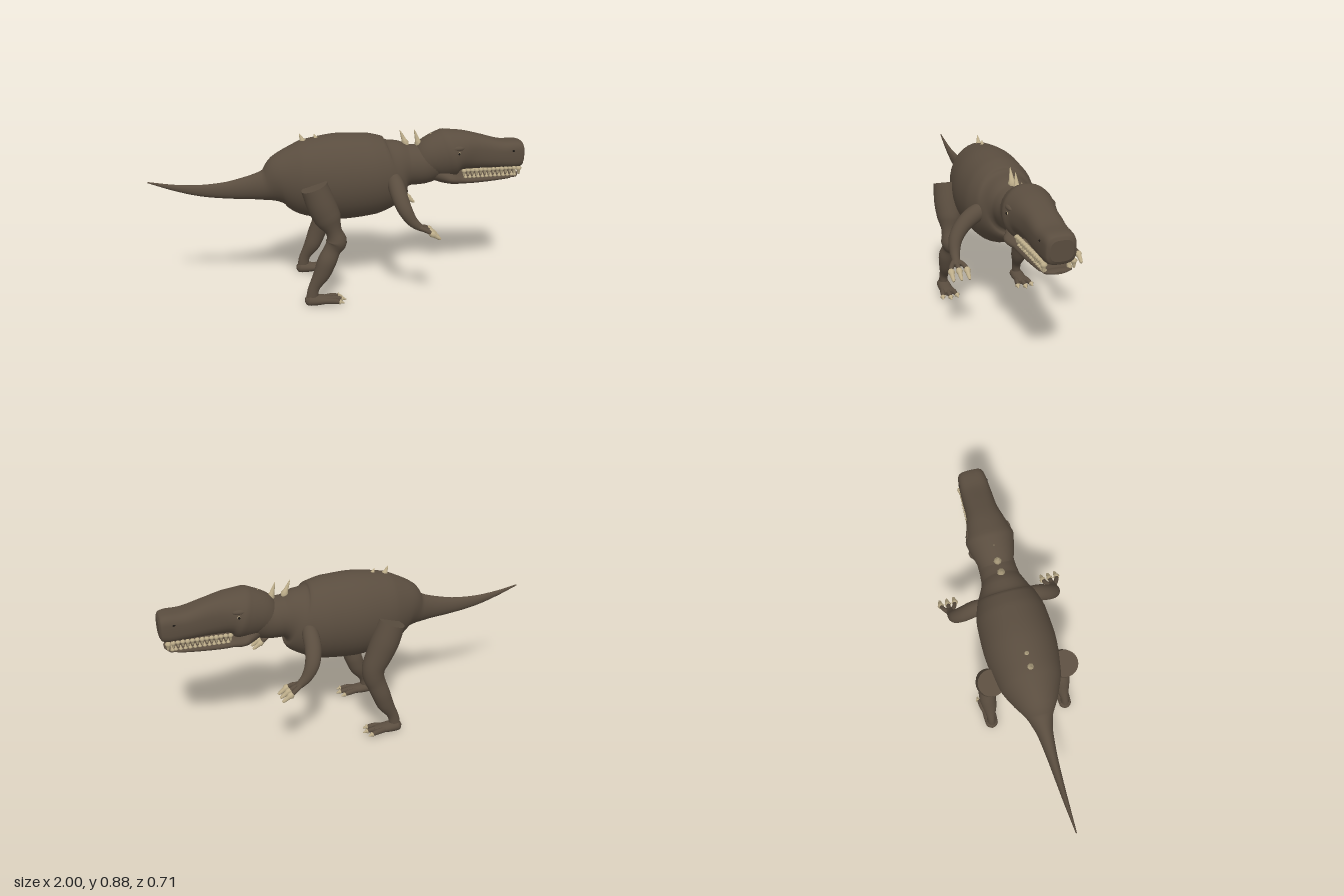
import * as THREE from 'three';

const paint = (name, color) => {
  const m = new THREE.MeshStandardMaterial({ color });
  m.name = name;
  return m;
};
const hide = paint('brown hide', 0x5a4d3f);
const bone = paint('bone', 0xc0b08c);
const dark = paint('dark pupil', 0x1c1814);

// Smooth skin over sections [x, y, z, half width, half depth, squareness = 2]
function loft(sections, ref, steps = 4, sides = 24) {
  const path = new THREE.CatmullRomCurve3(sections.map(s => new THREE.Vector3(s[0], s[1], s[2])));
  const size = new THREE.CatmullRomCurve3(sections.map(s => new THREE.Vector3(s[3], s[4], s[5] ?? 2)));
  const n = (sections.length - 1) * steps;
  const pos = [], index = [];
  const ring = (i) => {
    const c = path.getPoint(i / n), r = size.getPoint(i / n);
    const T = path.getTangent(i / n);
    const U = new THREE.Vector3().crossVectors(ref, T).normalize();
    const V = new THREE.Vector3().crossVectors(T, U);
    for (let j = 0; j < sides; j++) {
      const a = j / sides * Math.PI * 2, e = 2 / r.z;
      const u = Math.sign(Math.cos(a)) * Math.abs(Math.cos(a)) ** e * r.x;
      const v = Math.sign(Math.sin(a)) * Math.abs(Math.sin(a)) ** e * r.y;
      const p = c.clone().addScaledVector(U, u).addScaledVector(V, v);
      pos.push(p.x, p.y, p.z);
    }
    return c;
  };
  for (let i = 0; i <= n; i++) ring(i);
  for (let i = 0; i < n; i++) for (let j = 0; j < sides; j++) {
    const k = (j + 1) % sides, a = i * sides, b = a + sides;
    index.push(a + j, a + k, b + j, a + k, b + k, b + j);
  }
  // flat end caps with their own vertices
  for (const end of [0, n]) {
    const start = pos.length / 3, c = ring(end), mid = pos.length / 3;
    pos.push(c.x, c.y, c.z);
    for (let j = 0; j < sides; j++) {
      const a = start + j, b = start + (j + 1) % sides;
      index.push(mid, ...(end ? [a, b] : [b, a]));
    }
  }
  const g = new THREE.BufferGeometry();
  g.setAttribute('position', new THREE.Float32BufferAttribute(pos, 3));
  g.setIndex(index);
  g.computeVertexNormals();
  return g;
}

const X = new THREE.Vector3(1, 0, 0), Y = new THREE.Vector3(0, 1, 0);

function add(parent, name, geometry, material) {
  const m = new THREE.Mesh(geometry, material);
  m.name = name;
  parent.add(m);
  return m;
}

// Tapered claw, tooth or spike between two points
function claw(parent, name, from, to, r, tip = 0.2) {
  const at = (t, k) => [0, 1, 2].map(i => from[i] + (to[i] - from[i]) * t).concat(r * k, r * k);
  const ref = Math.abs(to[1] - from[1]) > Math.abs(to[0] - from[0]) ? X : Y;
  add(parent, name, loft([at(0, 0.9), at(0.4, 0.9), at(0.85, tip + 0.25), at(1, tip)], ref, 2, 8), bone);
}

function ball(parent, name, p, s, material) {
  const m = add(parent, name, new THREE.SphereGeometry(1, 20, 14), material);
  m.position.set(...p);
  m.scale.set(...s);
  return m;
}

function makeLeg(s) {
  const leg = new THREE.Group();
  leg.name = s > 0 ? 'rightLeg' : 'leftLeg';
  // one knee is pinched above and below the joint, the other is smooth
  const knee = s > 0
    ? [[-0.06, 0.41, 0.208, 0.043, 0.042], [-0.047, 0.355, 0.206, 0.054, 0.055], [-0.07, 0.31, 0.21, 0.036, 0.045]]
    : [[-0.06, 0.41, 0.2, 0.06, 0.062], [-0.06, 0.355, 0.203, 0.055, 0.057], [-0.075, 0.31, 0.208, 0.048, 0.052]];
  const line = [
    [-0.16, 0.655, 0.195, 0.07, 0.07], [-0.125, 0.56, 0.197, 0.074, 0.075], [-0.09, 0.48, 0.2, 0.066, 0.07],
    ...knee,
    [-0.098, 0.25, 0.214, 0.046, 0.05], [-0.125, 0.18, 0.213, 0.041, 0.045],
    [-0.17, 0.1, 0.218, 0.023, 0.03], [-0.18, 0.04, 0.22, 0.024, 0.032],
  ];
  add(leg, 'legAndShin', loft(line.map(([x, y, z, a, b]) => [x, y, z * s, a, b]), X), hide);
  add(leg, 'foot', loft([
    [-0.215, 0.042, 0.22 * s, 0.012, 0.012], [-0.195, 0.036, 0.22 * s, 0.034, 0.03],
    [-0.15, 0.034, 0.22 * s, 0.037, 0.028], [-0.09, 0.034, 0.22 * s, 0.034, 0.02],
    [-0.06, 0.034, 0.22 * s, 0.026, 0.013]], Y), hide);
  // three toes with claws
  for (const t of [-1, 0, 1]) {
    const z = 0.22 * s + t * 0.04, len = t ? 0 : 0.015;
    add(leg, 'toe', loft([[-0.12, 0.034, 0.22 * s + t * 0.02, 0.015, 0.016],
      [-0.07, 0.035, z - t * 0.008, 0.014, 0.016], [-0.03 + len, 0.031, z, 0.009, 0.01]], Y, 3, 12), hide);
    claw(leg, 'toeClaw', [-0.04 + len, 0.033, z], [-0.012 + len, 0.026, z + t * 0.003], 0.01);
  }
  return leg;
}

function makeArm(s) {
  const arm = new THREE.Group();
  arm.name = s > 0 ? 'rightArm' : 'leftArm';
  add(arm, 'upperArmAndForearm', loft([
    [0.265, 0.66, 0.11, 0.04, 0.035], [0.27, 0.635, 0.17, 0.045, 0.043], [0.278, 0.59, 0.23, 0.04, 0.042],
    [0.3, 0.53, 0.275, 0.035, 0.037], [0.335, 0.475, 0.29, 0.026, 0.028], [0.37, 0.445, 0.294, 0.021, 0.02],
    [0.395, 0.43, 0.295, 0.026, 0.013]].map(([x, y, z, a, b]) => [x, y, z * s, a, b]), X), hide);
  // three clawed fingers
  for (const t of [-1, 0, 1]) {
    const z = (0.295 + t * 0.04) * s;
    add(arm, 'finger', loft([[0.375, 0.442, (0.295 + t * 0.012) * s, 0.013, 0.012],
      [0.405, 0.432, z - t * s * 0.008, 0.012, 0.012], [0.43, 0.418, z, 0.011, 0.011]], Y, 3, 12), hide);
    claw(arm, 'fingerClaw', [0.42, 0.424, z], [0.475, 0.386, z], 0.014, 0.4);
  }
  return arm;
}

function makeHead() {
  const head = new THREE.Group();
  head.name = 'head';
  add(head, 'skullAndSnout', loft([
    [0.45, 0.695, 0, 0.09, 0.095], [0.5, 0.725, 0, 0.108, 0.12], [0.57, 0.747, 0, 0.126, 0.133],
    [0.64, 0.763, 0, 0.113, 0.11, 2.2], [0.74, 0.755, 0, 0.088, 0.093, 2.6], [0.87, 0.738, 0, 0.082, 0.075, 3],
    [0.96, 0.736, 0, 0.076, 0.074, 3.4], [0.99, 0.736, 0, 0.07, 0.067, 3.2], [1, 0.736, 0, 0.054, 0.05, 3]], Y, 5, 32), hide);
  add(head, 'lowerJaw', loft([
    [0.5, 0.665, 0, 0.07, 0.055], [0.56, 0.637, 0, 0.108, 0.045], [0.65, 0.614, 0, 0.094, 0.025, 2.4],
    [0.8, 0.612, 0, 0.083, 0.02, 2.4], [0.92, 0.618, 0, 0.073, 0.014, 2.4], [0.965, 0.622, 0, 0.055, 0.011],
    [0.98, 0.623, 0, 0.025, 0.006]], Y, 5, 28), hide);
  for (const s of [-1, 1]) {
    ball(head, 'browRidge', [0.605, 0.797, 0.1 * s], [0.045, 0.016, 0.02], hide);
    ball(head, 'eye', [0.615, 0.773, 0.11 * s], [0.014, 0.011, 0.011], bone);
    ball(head, 'pupil', [0.618, 0.773, 0.118 * s], [0.006, 0.007, 0.005], dark);
    ball(head, 'nostril', [0.93, 0.765, 0.0775 * s], [0.007, 0.005, 0.003], dark);
    // upper teeth hang down, lower teeth stand between them
    for (let i = 0; i < 13; i++) {
      const x = 0.66 + i * 0.0235, z = (0.081 - i * 0.0011) * s;
      claw(head, 'upperTooth', [x, 0.676, z], [x, i % 3 ? 0.643 : 0.636, z], 0.0095);
      if (i < 12) claw(head, 'lowerTooth', [x + 0.012, 0.625, z * 0.92], [x + 0.012, 0.65, z * 0.92], 0.007);
    }
    claw(head, 'frontFang', [0.965, 0.675, 0.069 * s], [0.97, 0.632, 0.071 * s], 0.012);
    claw(head, 'lowerFang', [0.945, 0.624, 0.06 * s], [0.952, 0.655, 0.062 * s], 0.009);
  }
  return head;
}

export function createModel() {
  const model = new THREE.Group();
  model.name = 'dinosaur';

  // tail, barrel body and neck in one skin
  add(model, 'bodyAndTail', loft([
    [-1, 0.656, 0, 0.003, 0.003], [-0.87, 0.622, 0, 0.011, 0.016], [-0.74, 0.6, 0, 0.018, 0.03],
    [-0.6, 0.595, 0, 0.027, 0.045], [-0.47, 0.605, 0, 0.042, 0.065], [-0.39, 0.615, 0, 0.066, 0.085],
    [-0.31, 0.638, 0, 0.115, 0.147], [-0.2, 0.645, 0, 0.163, 0.203], [0, 0.645, 0, 0.192, 0.233],
    [0.17, 0.652, 0, 0.185, 0.222], [0.275, 0.67, 0, 0.155, 0.188], [0.33, 0.688, 0, 0.122, 0.143],
    [0.37, 0.692, 0, 0.104, 0.112], [0.445, 0.692, 0, 0.098, 0.107], [0.52, 0.72, 0, 0.1, 0.11]], Y, 5, 36), hide);

  model.add(makeHead());
  for (const s of [1, -1]) model.add(makeLeg(s), makeArm(s));

  // back spikes: base x, base y, tip x, tip y, radius
  for (const [x, y, tx, ty, r] of [
    [-0.19, 0.835, -0.213, 0.887, 0.012], [-0.125, 0.855, -0.137, 0.882, 0.008],
    [0.36, 0.795, 0.322, 0.884, 0.014], [0.43, 0.79, 0.4, 0.884, 0.014], [0.505, 0.825, 0.488, 0.864, 0.008],
  ]) claw(model, 'backSpike', [x, y, 0], [tx, ty, 0], r, 0.08);

  return model;
}
